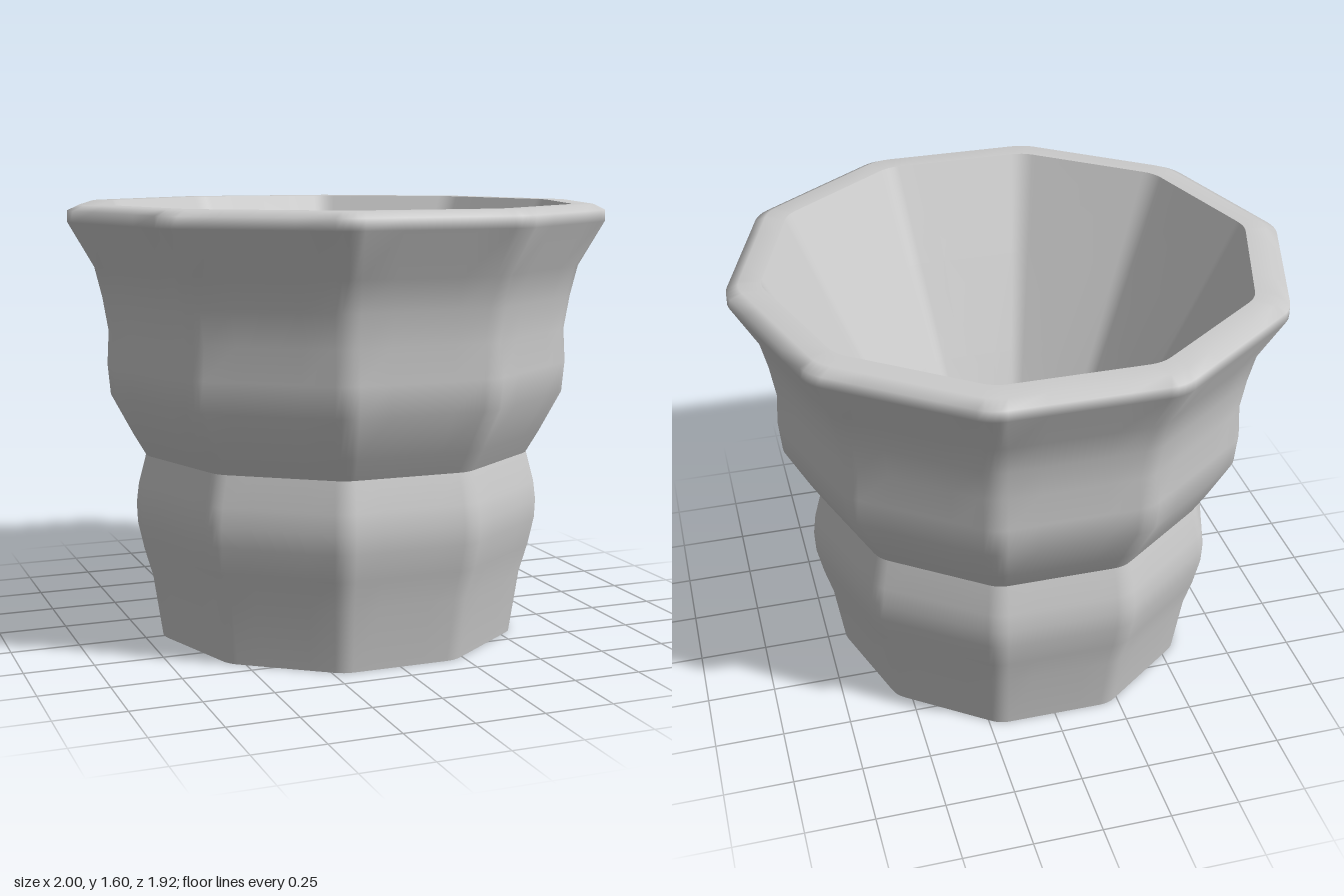
import * as THREE from 'three';

const SIDES = 10;
const material = new THREE.MeshStandardMaterial({ color: 0xcccccc });

// Unit decagon outline with softened corners: [x, z] points, counted from +x towards +z
function decagonOutline() {
  const corner = (k) => new THREE.Vector2(Math.cos(k * Math.PI * 2 / SIDES), Math.sin(k * Math.PI * 2 / SIDES));
  const points = [];
  for (let k = 0; k < SIDES; k++) {
    const here = corner(k);
    const start = here.clone().lerp(corner(k - 1), 0.08);
    const end = here.clone().lerp(corner(k + 1), 0.08);
    const bend = new THREE.QuadraticBezierCurve(start, here, end);
    points.push(...bend.getPoints(4));
    // extra points along the straight side let it blend into a circle
    const nextStart = corner(k + 1).lerp(here, 0.08);
    for (const t of [0.25, 0.5, 0.75]) points.push(end.clone().lerp(nextStart, t));
  }
  return points;
}

const OUTLINE = decagonOutline();

// Skin through rings [radius, height, roundness]; roundness 0 = decagon, 1 = circle
function skin(name, rings) {
  const n = OUTLINE.length;
  const positions = [];
  const index = [];
  rings.forEach(([radius, y, round = 0], j) => {
    OUTLINE.forEach((p, i) => {
      const q = p.clone().lerp(p.clone().normalize(), round).multiplyScalar(radius);
      positions.push(q.x, y, q.y);
      if (j === rings.length - 1) return;
      const a = j * n + i;
      const b = j * n + (i + 1) % n;
      index.push(a, a + n, b, b, a + n, b + n);
    });
  });
  const geometry = new THREE.BufferGeometry();
  geometry.setAttribute('position', new THREE.Float32BufferAttribute(positions, 3));
  geometry.setIndex(index);
  geometry.computeVertexNormals();
  const mesh = new THREE.Mesh(geometry, material);
  mesh.name = name;
  return mesh;
}

export function createModel() {
  const group = new THREE.Group();
  group.name = 'planter';

  // Closed underside
  group.add(skin('base', [[0, 0], [0.685, 0]]));

  // Lower bulge, ending in the sharp waist
  group.add(skin('lowerBody', [
    [0.685, 0], [0.72, 0.23], [0.752, 0.34], [0.774, 0.44],
    [0.777, 0.51], [0.768, 0.58], [0.738, 0.69],
  ]));

  // Upper bulge flaring out into the rim
  group.add(skin('upperBody', [
    [0.738, 0.69], [0.785, 0.77], [0.865, 0.92], [0.875, 1.03], [0.868, 1.15],
    [0.888, 1.27], [0.915, 1.38], [1.008, 1.54], [1.008, 1.58], [0.965, 1.6], [0.885, 1.6],
  ]));

  // Funnel-like cavity narrowing to a round floor
  group.add(skin('innerWall', [
    [0.885, 1.6, 0], [0.71, 1.25, 0.03], [0.53, 0.9, 0.1], [0.355, 0.55, 0.35], [0.178, 0.2, 1],
  ]));
  group.add(skin('innerFloor', [[0.178, 0.2, 1], [0, 0.2, 1]]));

  return group;
}
